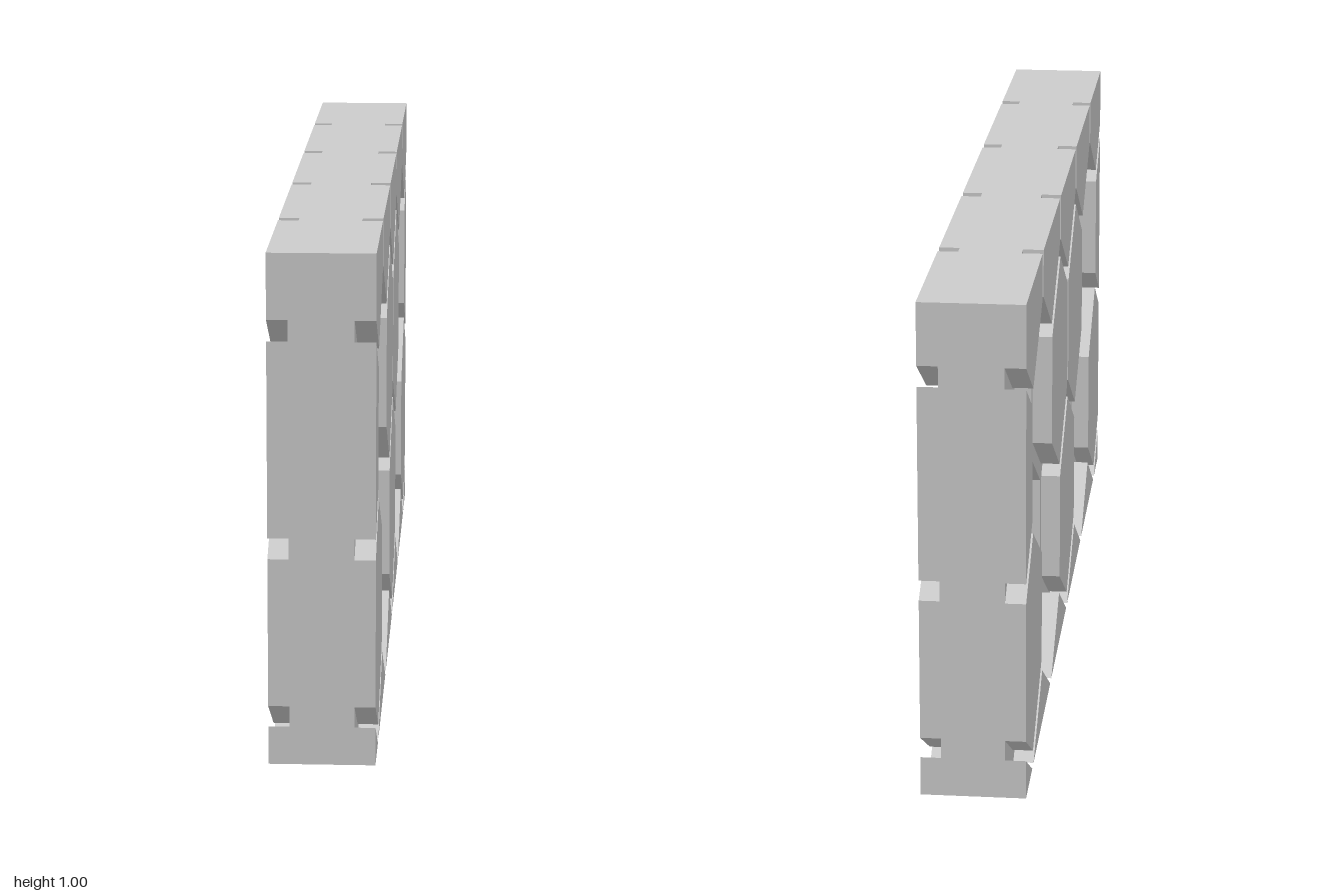
import * as THREE from 'three';

const HALF_X = 0.103, CORE_X = 0.0625;   // full and groove-floor half thickness
const R = 0.23;                          // hexagon corner radius
const PITCH = 0.426, ROW = 0.378;        // honeycomb spacing
const FIRST_ROW_Y = -0.115, SHIFT = -0.003;

// Corners of a pointy-top hexagon
function hexagon(u, v) {
  return Array.from({ length: 6 }, (_, i) => {
    const a = Math.PI / 6 + i * Math.PI / 3;
    return new THREE.Vector2(u + R * Math.cos(a), v + R * Math.sin(a));
  });
}

// Keep the part of a polygon where sign * p[axis] <= limit
function clip(points, axis, sign, limit) {
  const out = [];
  points.forEach((p, i) => {
    const q = points[(i + 1) % points.length];
    const dp = sign * p[axis] - limit, dq = sign * q[axis] - limit;
    if (dp <= 0) out.push(p);
    if (dp * dq < 0) out.push(p.clone().lerp(q, dp / (dp - dq)));
  });
  return out;
}

function clipToPanel(points) {
  points = clip(points, 'x', 1, 1);
  points = clip(points, 'x', -1, 1);
  points = clip(points, 'y', 1, 1);
  return clip(points, 'y', -1, 0);
}

// Extrude a side-view shape along x, from x0 to x1
function slab(shape, x0, x1) {
  const g = new THREE.ExtrudeGeometry(shape, { depth: x1 - x0, bevelEnabled: false });
  return g.translate(0, 0, x0).rotateY(Math.PI / 2);
}

export function createModel() {
  const group = new THREE.Group();
  const material = new THREE.MeshStandardMaterial({ color: 0xcccccc, flatShading: true });
  const add = (name, geometry) => {
    const mesh = new THREE.Mesh(geometry, material);
    mesh.name = name;
    group.add(mesh);
  };

  const core = new THREE.Shape([[-1, 0], [1, 0], [1, 1], [-1, 1]].map(p => new THREE.Vector2(...p)));

  // Honeycomb of raised tiles on both faces, four cells cut right through
  for (let row = 0; row < 4; row++) {
    const v = FIRST_ROW_Y + row * ROW;
    for (let i = -3; i <= 3; i++) {
      const k = row % 2 ? i : i + 0.5;
      const corners = hexagon(k * PITCH + SHIFT, v);
      const open = (row === 1 && Math.abs(k) === 1) || (row === 2 && Math.abs(k) === 1.5);
      if (open) {
        core.holes.push(new THREE.Path(corners));
        continue;
      }
      const tile = clipToPanel(corners);
      if (tile.length < 3) continue;
      add('leftTile', slab(new THREE.Shape(tile), CORE_X, HALF_X));
      add('rightTile', slab(new THREE.Shape(tile), -HALF_X, -CORE_X));
    }
  }

  // Core plate whose faces form the groove floors
  add('corePlate', slab(core, -CORE_X, CORE_X));
  return group;
}
